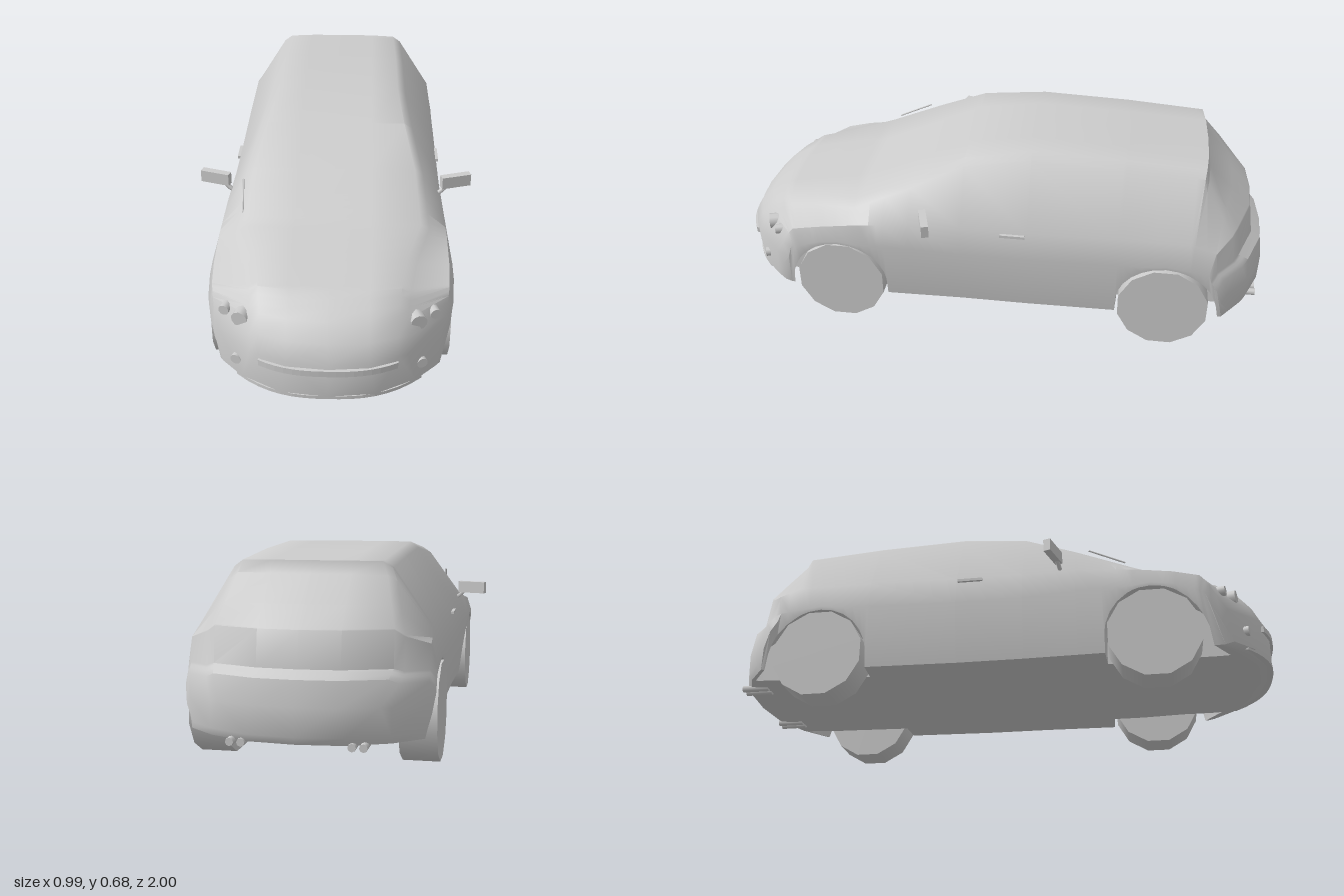
import * as THREE from 'three';
import { toCreasedNormals } from 'three/addons/utils/BufferGeometryUtils.js';

const WHEEL_Z = [0.565, -0.63], WHEEL_Y = 0.165, ARCH_R = 0.172;

// Body stations: z at the side, z at the centre, floor y, half width,
// widest y, belt y, roof half width, roof y
const STATIONS = [
  [0.765, 0.992, 0.13, 0.38, 0.2, 0.25, 0.25, 0.26],
  [0.755, 0.96, 0.115, 0.395, 0.25, 0.3, 0.25, 0.315],
  [0.745, 0.91, 0.112, 0.4, 0.3, 0.34, 0.25, 0.365],
  [0.725, 0.82, 0.11, 0.405, 0.31, 0.375, 0.26, 0.415],
  [0.64, 0.69, 0.11, 0.41, 0.34, 0.395, 0.28, 0.44],
  [0.5, 0.52, 0.105, 0.41, 0.34, 0.415, 0.33, 0.472],
  [0.3, 0.3, 0.105, 0.405, 0.34, 0.43, 0.315, 0.565],
  [0.11, 0.11, 0.105, 0.4, 0.33, 0.43, 0.28, 0.652],
  [-0.13, -0.13, 0.105, 0.4, 0.33, 0.43, 0.26, 0.685],
  [-0.45, -0.46, 0.11, 0.4, 0.34, 0.44, 0.26, 0.673],
  [-0.7, -0.755, 0.115, 0.4, 0.34, 0.44, 0.255, 0.655],
  [-0.715, -0.765, 0.115, 0.4, 0.34, 0.44, 0.27, 0.615],
  [-0.78, -0.93, 0.12, 0.4, 0.33, 0.41, 0.31, 0.46],
  [-0.79, -0.95, 0.12, 0.4, 0.3, 0.33, 0.31, 0.345],
  [-0.815, -0.985, 0.125, 0.4, 0.26, 0.3, 0.3, 0.32],
  [-0.825, -1.0, 0.15, 0.39, 0.2, 0.23, 0.28, 0.24],
];

const bend = (x) => Math.pow(Math.abs(x) / 0.4, 2.6);

function stationAt(z) {
  let i = 0;
  while (i < STATIONS.length - 2 && z < STATIONS[i + 1][0]) i++;
  const a = STATIONS[i], b = STATIONS[i + 1];
  const t = (z - a[0]) / (b[0] - a[0]);
  return a.map((v, k) => THREE.MathUtils.lerp(v, b[k], t));
}

// Half outline from floor centre over the wheel arch to roof centre
function halfSection([zs, zc, yb, w, yMid, yBelt, wRoof, yTop]) {
  let yArch = yb;
  for (const c of WHEEL_Z) {
    const d = Math.abs(zs - c);
    if (d < ARCH_R) yArch = WHEEL_Y + Math.sqrt(ARCH_R ** 2 - d * d);
  }
  const yM = Math.max(yMid, yArch + 0.012);
  const sill = THREE.MathUtils.lerp(w - 0.03, w, (yArch - yb) / (yM - yb));
  return [
    [0, yb], [0.15, yb], [0.28, yb], [0.28, yArch], [sill, yArch],
    [w, yM], [w - 0.018, Math.max(yBelt, yM + 0.01)],
    [wRoof, Math.max(yTop - 0.022, yBelt + 0.004)],
    [wRoof - 0.03, yTop - 0.001], [0.13, yTop], [0, yTop],
  ].map(([x, y]) => [x, y, zc + (zs - zc) * bend(x)]);
}

function bodyGeometry() {
  const zs = STATIONS.map((s) => s[0]);
  for (const c of WHEEL_Z) {
    for (let k = 0; k <= 12; k++) zs.push(c + (ARCH_R - 0.0005) * Math.cos(Math.PI * k / 12));
    zs.push(c + ARCH_R + 0.0005, c - ARCH_R - 0.0005);
  }
  zs.sort((a, b) => b - a);
  const pos = [], idx = [], N = 20;
  for (const z of zs) {
    const half = halfSection(stationAt(z));
    const mirrored = half.slice(1, -1).reverse().map(([x, y, zz]) => [-x, y, zz]);
    pos.push(...half.flat(), ...mirrored.flat());
  }
  for (let i = 0; i < zs.length - 1; i++) {
    for (let j = 0; j < N; j++) {
      const a = i * N + j, b = i * N + (j + 1) % N;
      idx.push(a, a + N, b, b, a + N, b + N);
    }
  }
  // End caps joined in upright strips
  const strips = [[0, 1, 9, 10], [1, 2, 8, 9], [2, 3, 7, 8], [3, 4, 6, 7], [4, 5, 6, 6]];
  const cap = (base, flip) => {
    const tri = (a, b, c) => idx.push(base + a, base + (flip ? c : b), base + (flip ? b : c));
    const m = (k) => (N - k) % N;
    for (const [a, b, c, d] of strips) {
      tri(a, b, c);
      tri(m(a), m(c), m(b));
      if (c !== d) { tri(a, c, d); tri(m(a), m(d), m(c)); }
    }
  };
  cap(0, false);
  cap((zs.length - 1) * N, true);
  const g = new THREE.BufferGeometry();
  g.setAttribute('position', new THREE.Float32BufferAttribute(pos, 3));
  g.setIndex(idx);
  return toCreasedNormals(g, 0.65);
}

// Thin crescent following the curve of the nose
function lipGeometry(halfWidth, zFront, thickness) {
  const edge = (out) => Array.from({ length: 17 }, (_, i) => {
    const x = halfWidth * (i / 8 - 1);
    return new THREE.Vector2(x, -(zFront - 0.23 * bend(x) - out));
  });
  const shape = new THREE.Shape([...edge(0), ...edge(0.04).reverse()]);
  const g = new THREE.ExtrudeGeometry(shape, { depth: thickness, bevelEnabled: false });
  return g.rotateX(-Math.PI / 2);
}

export function createModel() {
  const car = new THREE.Group();
  car.name = 'car';
  const grey = new THREE.MeshStandardMaterial({ color: 0xcccccc, side: THREE.DoubleSide });
  const add = (name, geometry, x = 0, y = 0, z = 0, parent = car) => {
    const mesh = new THREE.Mesh(geometry, grey);
    mesh.name = name;
    mesh.position.set(x, y, z);
    parent.add(mesh);
    return mesh;
  };
  const rod = (name, points, r) => {
    const path = new THREE.CatmullRomCurve3(points.map((p) => new THREE.Vector3(...p)));
    return add(name, new THREE.TubeGeometry(path, 2, r, 6));
  };

  add('body', bodyGeometry());
  add('grilleLip', lipGeometry(0.22, 1.0, 0.022), 0, 0.22, 0);
  add('frontChin', lipGeometry(0.3, 0.99, 0.012), 0, 0.12, 0);
  rod('wiper', [[-0.31, 0.49, 0.48], [-0.315, 0.52, 0.41], [-0.32, 0.545, 0.35]], 0.003);

  for (const s of [1, -1]) {
    const side = s > 0 ? 'left' : 'right';

    // Wheels
    WHEEL_Z.forEach((z, i) => {
      const g = new THREE.CylinderGeometry(0.165, 0.165, 0.122, 12).rotateZ(Math.PI / 2);
      g.rotateX(Math.PI / 12);
      add(side + (i ? 'RearWheel' : 'FrontWheel'), g, s * 0.341, WHEEL_Y, z);
    });

    // Lamps
    for (const [name, x, y, z, r] of [
      ['Headlamp', 0.278, 0.328, 0.838, 0.028],
      ['Indicator', 0.333, 0.332, 0.797, 0.018],
      ['FogLamp', 0.293, 0.19, 0.868, 0.018],
    ]) {
      const g = new THREE.CylinderGeometry(r, r, 0.05, 10).rotateX(Math.PI / 2);
      add(side + name, g, s * x, y, z).rotation.y = s * 0.3;
    }

    // Door mirror on its stalk
    const mirror = add(side + 'Mirror', new THREE.BoxGeometry(0.11, 0.045, 0.026), s * 0.438, 0.483, 0.228);
    mirror.rotation.y = s * 0.3;
    rod(side + 'MirrorStalk', [[s * 0.36, 0.43, 0.25], [s * 0.385, 0.447, 0.245], [s * 0.41, 0.47, 0.238]], 0.008);

    // Door handle
    add(side + 'DoorHandle', new THREE.BoxGeometry(0.02, 0.01, 0.09), s * 0.384, 0.42, -0.08);

    // Twin exhaust pipes
    for (const x of [0.17, 0.205]) {
      const g = new THREE.CylinderGeometry(0.013, 0.013, 0.1, 8).rotateX(Math.PI / 2);
      add(side + 'Exhaust', g, s * x, 0.122, -0.93);
    }
  }
  return car;
}
